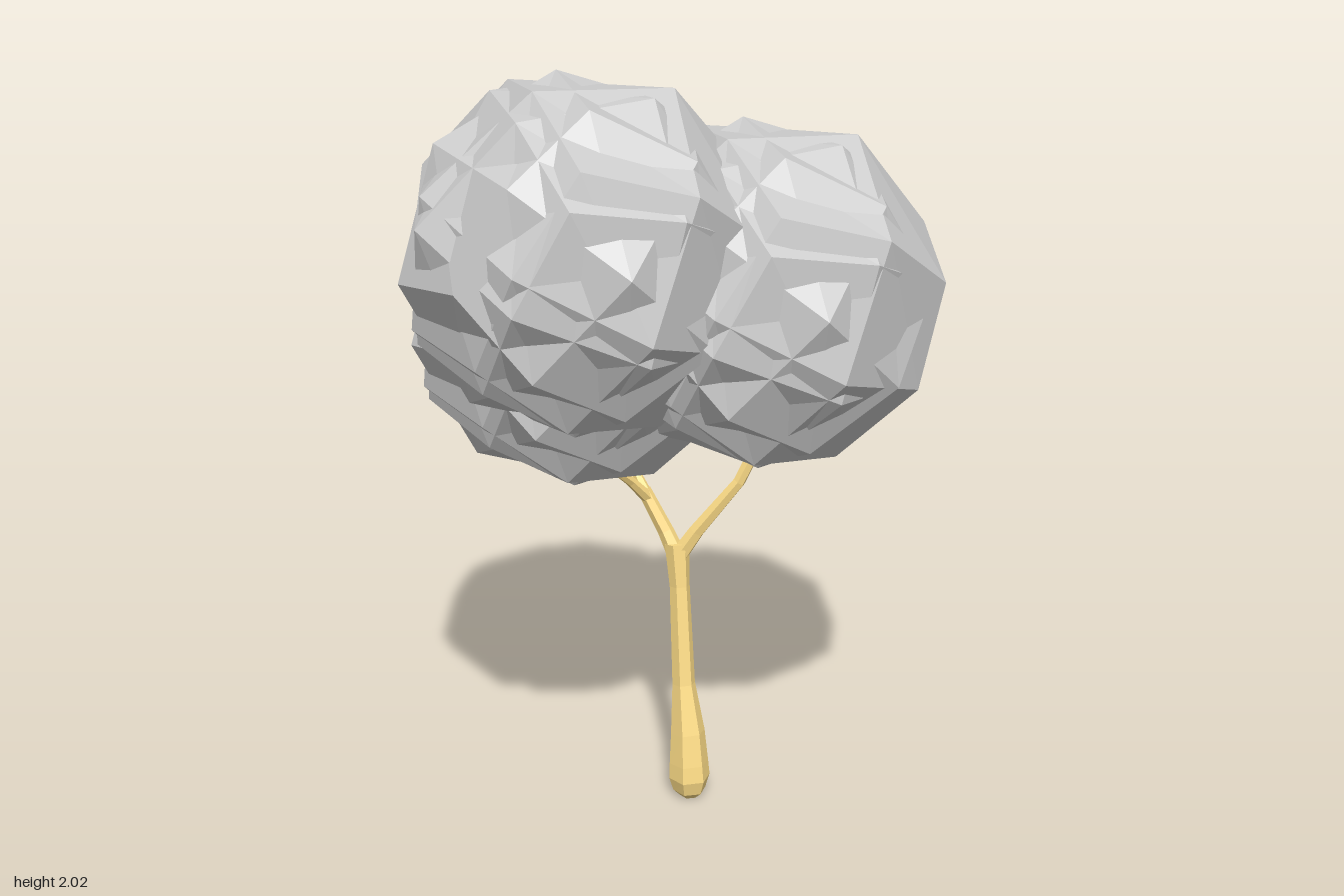
import * as THREE from 'three';

const leafMat = new THREE.MeshStandardMaterial({ color: 0xcccccc, flatShading: true });
const barkMat = new THREE.MeshStandardMaterial({ color: 0xffde88, flatShading: true });

// Cube of 24 quads pushed out to a sphere
function quadBall(radius) {
  const geo = new THREE.BoxGeometry(2, 2, 2, 2, 2, 2);
  const p = geo.attributes.position;
  const v = new THREE.Vector3();
  for (let i = 0; i < p.count; i++) {
    v.fromBufferAttribute(p, i).setLength(radius);
    p.setXYZ(i, v.x, v.y, v.z);
  }
  geo.computeVertexNormals();
  return geo;
}

// Six-sided limb through points [x, y, z, radius], closed at both ends
function limb(points, sides = 6) {
  const centres = points.map(([x, y, z]) => new THREE.Vector3(x, y, z));
  const pos = [];
  const index = [];
  points.forEach(([, , , r], i) => {
    const dir = centres[Math.min(i + 1, points.length - 1)].clone()
      .sub(centres[Math.max(i - 1, 0)]).normalize();
    const turn = new THREE.Quaternion().setFromUnitVectors(new THREE.Vector3(0, 1, 0), dir);
    for (let s = 0; s < sides; s++) {
      const a = (s / sides) * Math.PI * 2;
      const q = new THREE.Vector3(Math.sin(a) * r, 0, Math.cos(a) * r)
        .applyQuaternion(turn).add(centres[i]);
      pos.push(q.x, q.y, q.z);
    }
  });
  const last = (points.length - 1) * sides;
  for (let s = 0; s < sides; s++) {
    const t = (s + 1) % sides;
    for (let k = 0; k < last; k += sides) {
      index.push(k + s, k + t, k + sides + t, k + s, k + sides + t, k + sides + s);
    }
    if (s > 0 && s < sides - 1) {
      index.push(0, s + 1, s, last, last + s, last + s + 1);
    }
  }
  const geo = new THREE.BufferGeometry();
  geo.setAttribute('position', new THREE.Float32BufferAttribute(pos, 3));
  geo.setIndex(index);
  geo.computeVertexNormals();
  return geo;
}

export function createModel() {
  const tree = new THREE.Group();
  tree.name = 'tree';
  const add = (parent, geo, mat, name) => {
    const mesh = new THREE.Mesh(geo, mat);
    mesh.name = name;
    parent.add(mesh);
    return mesh;
  };

  // Trunk with swollen foot, forking twice
  const limbs = {
    trunk: [[0.067, 0.005, 0.125, 0.025], [0.067, 0.025, 0.125, 0.046], [0.067, 0.065, 0.125, 0.058],
      [0.067, 0.11, 0.122, 0.055], [0.07, 0.2, 0.113, 0.048], [0.072, 0.34, 0.092, 0.032],
      [0.085, 0.62, 0.058, 0.028], [0.088, 0.74, 0.042, 0.034]],
    frontBranch: [[0.088, 0.7, 0.045, 0.026], [0.12, 0.78, 0.085, 0.022],
      [0.19, 0.93, 0.175, 0.017], [0.225, 1.03, 0.205, 0.017], [0.24, 1.12, 0.21, 0.014]],
    backBranch: [[0.088, 0.7, 0.045, 0.026], [0.075, 0.77, 0.01, 0.022], [0.045, 0.88, -0.045, 0.019]],
    leftTwig: [[0.05, 0.86, -0.035, 0.018], [-0.01, 0.92, -0.035, 0.014],
      [-0.09, 0.985, -0.03, 0.012], [-0.13, 1.08, -0.02, 0.01]],
    rearTwig: [[0.05, 0.86, -0.035, 0.018], [0.06, 0.9, -0.085, 0.014],
      [0.065, 0.96, -0.135, 0.013], [0.06, 1.05, -0.16, 0.01]],
  };
  for (const [name, points] of Object.entries(limbs)) add(tree, limb(points), barkMat, name);

  // Tilt shared by every foliage clump
  const up = new THREE.Vector3(0.3, 0.88, 0.37).normalize();
  const side = new THREE.Vector3(-0.903, 0.389, -0.194);
  side.addScaledVector(up, -side.dot(up)).normalize();
  const tilt = new THREE.Quaternion().setFromRotationMatrix(
    new THREE.Matrix4().makeBasis(up, side, new THREE.Vector3().crossVectors(up, side)));

  const ball = quadBall(0.465);
  const inner = quadBall(0.45);
  // Inner balls turned about the smooth front-left direction and set back
  // from it, so corners break through as spikes on the other sides only
  const pole = new THREE.Vector3(0.5, 0.1, 0.86).normalize();
  const turns = [0.2, -0.45];
  const clumps = {
    rightFoliage: [-0.205, 1.578, 0.02],
    leftFoliage: [0.235, 1.448, 0.21],
    rearFoliage: [-0.03, 1.35, -0.205],
  };
  for (const [name, centre] of Object.entries(clumps)) {
    const clump = new THREE.Group();
    clump.name = name;
    clump.position.set(...centre);
    add(clump, ball, leafMat, 'leafBall').quaternion.copy(tilt);
    for (const angle of turns) {
      const mesh = add(clump, inner, leafMat, 'leafSpikes');
      mesh.quaternion.setFromAxisAngle(pole, angle).multiply(tilt);
      mesh.position.set(-0.022, 0, 0);
    }
    tree.add(clump);
  }
  return tree;
}
